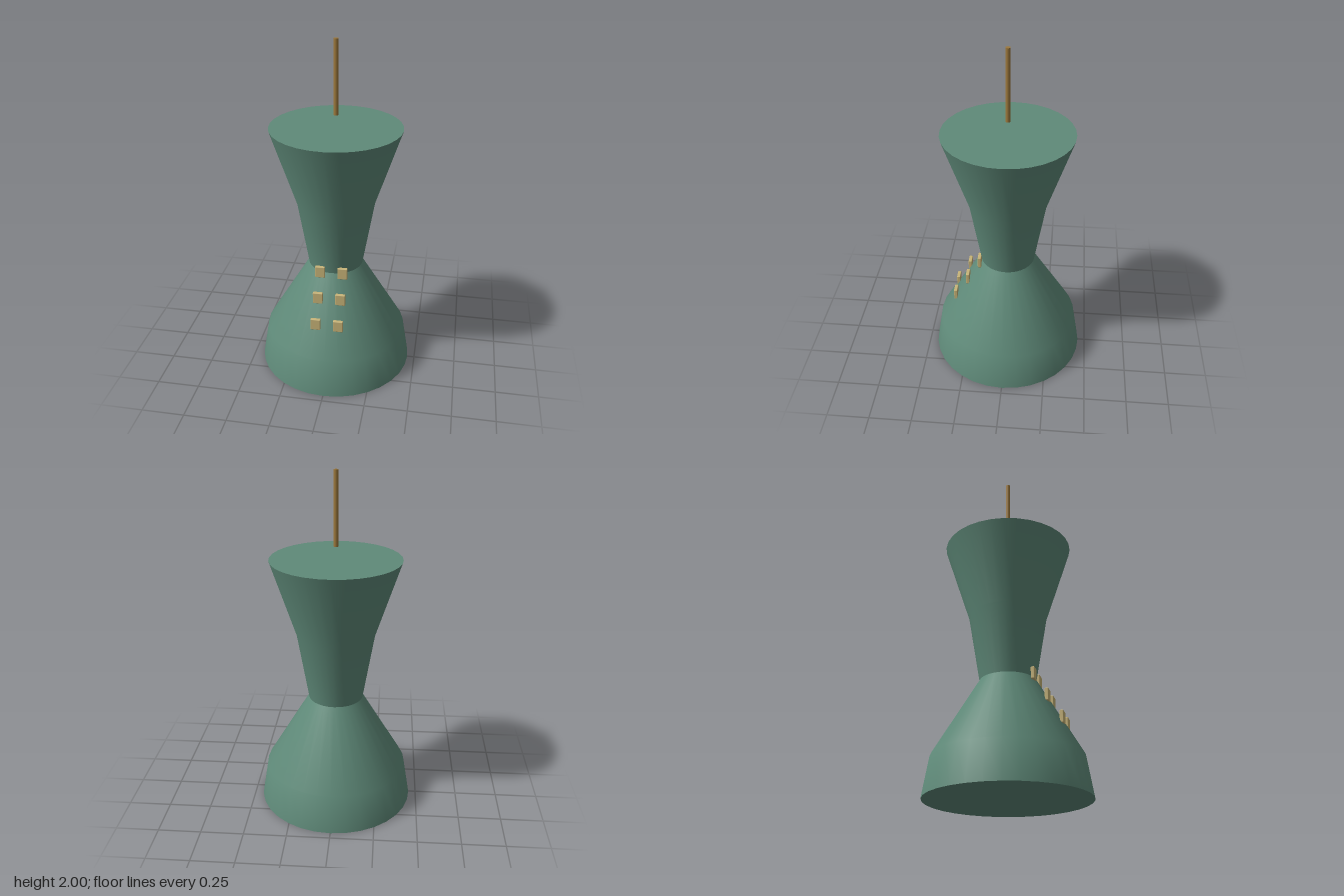
import * as THREE from 'three';
import { RoundedBoxGeometry } from 'three/addons/geometries/RoundedBoxGeometry.js';

const SIDES = 32;

export function createModel() {
  const model = new THREE.Group();
  const green = new THREE.MeshStandardMaterial({ color: 0x5f8a79 });
  green.name = 'sage green';
  const cream = new THREE.MeshStandardMaterial({ color: 0xc8b478 });
  cream.name = 'pale gold';
  const brass = new THREE.MeshStandardMaterial({ color: 0x9c783c });
  brass.name = 'brass';

  const add = (name, geometry, material, x = 0, y = 0, z = 0) => {
    const mesh = new THREE.Mesh(geometry, material);
    mesh.name = name;
    mesh.position.set(x, y, z);
    model.add(mesh);
    return mesh;
  };
  const lathe = (points) =>
    new THREE.LatheGeometry(points.map(([r, y]) => new THREE.Vector2(r, y)), SIDES);

  // Flared skirt and bodice, kept apart for a sharp crease at the waist
  add('skirt', lathe([[0.457, 0], [0.42, 0.225], [0.16, 0.665]]), green);
  add('bodice', lathe([[0.16, 0.665], [0.227, 1.06], [0.375, 1.51]]), green);

  // Flat discs closing the bottom and top
  add('baseDisc', new THREE.CircleGeometry(0.457, SIDES), green).rotation.x = Math.PI / 2;
  add('topDisc', new THREE.CircleGeometry(0.375, SIDES), green, 0, 1.51).rotation.x = -Math.PI / 2;

  // Thin rod hovering above the top
  add('rod', new THREE.CylinderGeometry(0.0135, 0.0135, 0.42, 16), brass, 0, 1.79);

  // Two columns of buttons stepping down the front
  for (const [y, z] of [[0.671, 0.164], [0.539, 0.239], [0.408, 0.317]]) {
    for (const side of [-1, 1]) {
      add(side > 0 ? 'leftButton' : 'rightButton',
        new RoundedBoxGeometry(0.058, 0.07, 0.021, 2, 0.004), cream, side * 0.066, y, z);
    }
  }
  return model;
}
